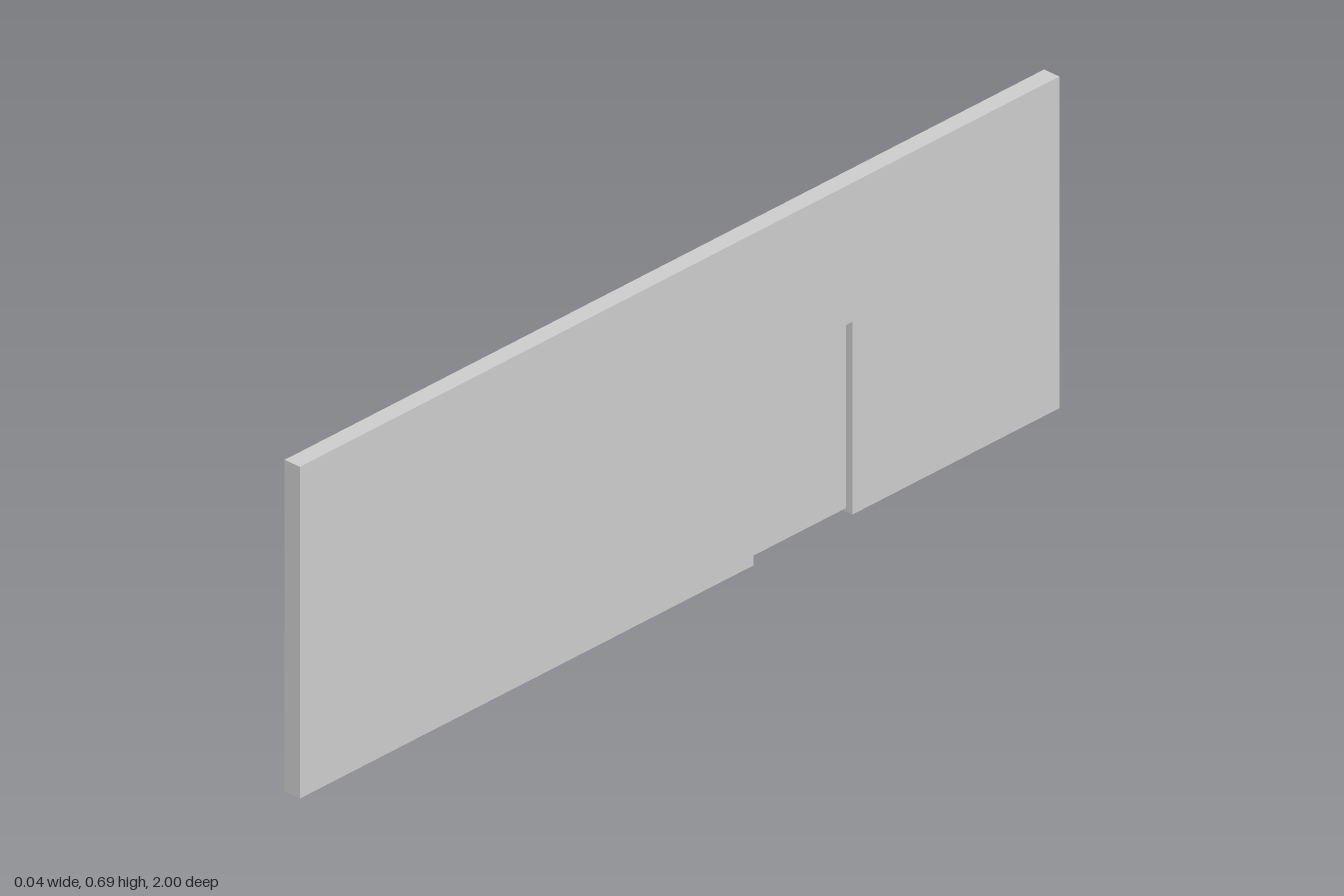
import * as THREE from 'three';

const LENGTH = 2, HEIGHT = 0.688, THICKNESS = 0.038;
const DOOR = { front: -0.195, back: -0.455, top: 0.4, gap: 0.007, thickness: 0.005 };

export function createModel() {
  const group = new THREE.Group();
  const material = new THREE.MeshStandardMaterial({ color: 0xcccccc, flatShading: true });

  // Wall outline with a doorway notch; shape x runs along -z
  const half = LENGTH / 2;
  const outline = new THREE.Shape([
    [-half, 0], [-DOOR.front, 0], [-DOOR.front, DOOR.top], [-DOOR.back, DOOR.top],
    [-DOOR.back, 0], [half, 0], [half, HEIGHT], [-half, HEIGHT],
  ].map(([x, y]) => new THREE.Vector2(x, y)));
  const wallGeometry = new THREE.ExtrudeGeometry(outline, { depth: THICKNESS, bevelEnabled: false });
  wallGeometry.translate(0, 0, -THICKNESS / 2).rotateY(Math.PI / 2);
  const wall = new THREE.Mesh(wallGeometry, material);
  wall.name = 'wall';
  group.add(wall);

  // Thin door panel, recessed on both sides and raised slightly off the floor
  const door = new THREE.Mesh(
    new THREE.BoxGeometry(DOOR.thickness, DOOR.top - DOOR.gap, DOOR.front - DOOR.back), material);
  door.position.set(0, (DOOR.top + DOOR.gap) / 2, (DOOR.front + DOOR.back) / 2);
  door.name = 'door';
  group.add(door);

  return group;
}
